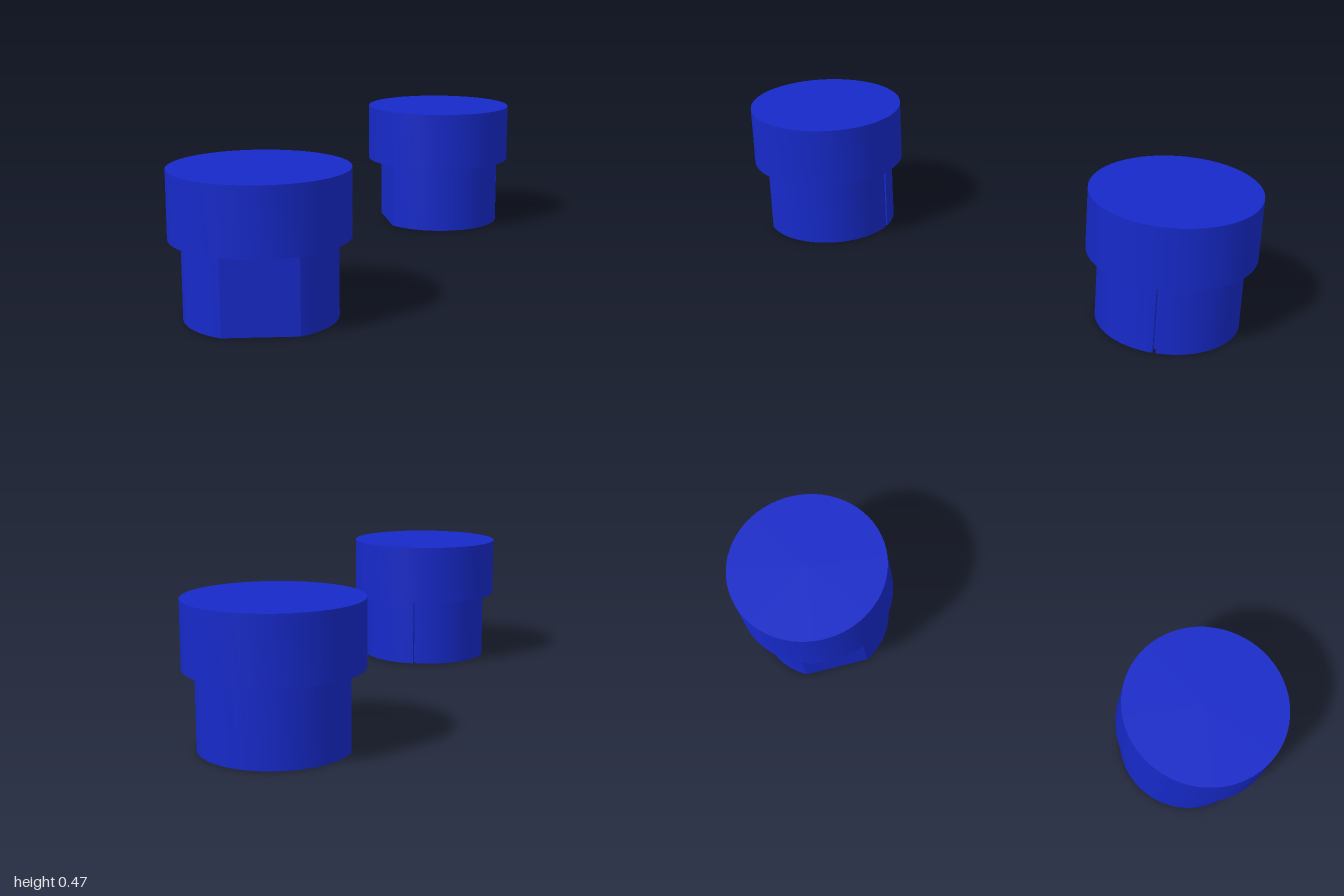
import * as THREE from 'three';
import { toCreasedNormals } from 'three/addons/utils/BufferGeometryUtils.js';

const material = new THREE.MeshStandardMaterial({ color: 0x1629c8 });
const CAP_BOTTOM = 0.253, CAP_TOP = 0.467;
const CAP_RADIUS = 0.28, STEM_RADIUS = 0.24;

// Round stem with one flat face and a narrow slit on the far side.
// Angles are in degrees from +x towards +z.
function stemGeometry() {
  const points = [];
  const add = (deg, r) => {
    const a = THREE.MathUtils.degToRad(deg);
    points.push(new THREE.Vector2(r * Math.cos(a), -r * Math.sin(a)));
  };
  const arc = (from, to, steps) => {
    for (let i = 0; i <= steps; i++) add(from + (to - from) * i / steps, STEM_RADIUS);
  };
  arc(90, 259.5, 40);
  add(259.5, STEM_RADIUS - 0.025);
  add(262, STEM_RADIUS - 0.025);
  arc(262, 392, 32); // the chord back to 90 degrees is the flat
  const geometry = new THREE.ExtrudeGeometry(new THREE.Shape(points), {
    depth: CAP_BOTTOM + 0.03, bevelEnabled: false,
  });
  geometry.rotateX(-Math.PI / 2);
  return toCreasedNormals(geometry, 0.4);
}

// Wide cap with a shallow recess on its underside
function capGeometry() {
  const profile = [
    [0, CAP_BOTTOM + 0.015], [0.265, CAP_BOTTOM + 0.015], [0.265, CAP_BOTTOM],
    [CAP_RADIUS, CAP_BOTTOM], [CAP_RADIUS, CAP_TOP], [0, CAP_TOP],
  ].map(([r, y]) => new THREE.Vector2(r, y));
  return toCreasedNormals(new THREE.LatheGeometry(profile, 64), 0.5);
}

export function createModel() {
  const model = new THREE.Group();
  model.name = 'steppedPlugs';
  const stem = stemGeometry();
  const cap = capGeometry();

  // Two plugs, the rear one turned about its axis
  const plugs = [
    ['frontPlug', -0.005, 0.72, 0],
    ['backPlug', 0.005, -0.72, -84],
  ];
  for (const [name, x, z, turn] of plugs) {
    const plug = new THREE.Group();
    plug.name = name;
    const stemMesh = new THREE.Mesh(stem, material);
    stemMesh.name = 'stem';
    const capMesh = new THREE.Mesh(cap, material);
    capMesh.name = 'cap';
    plug.add(stemMesh, capMesh);
    plug.position.set(x, 0, z);
    plug.rotation.y = THREE.MathUtils.degToRad(turn);
    model.add(plug);
  }
  return model;
}
